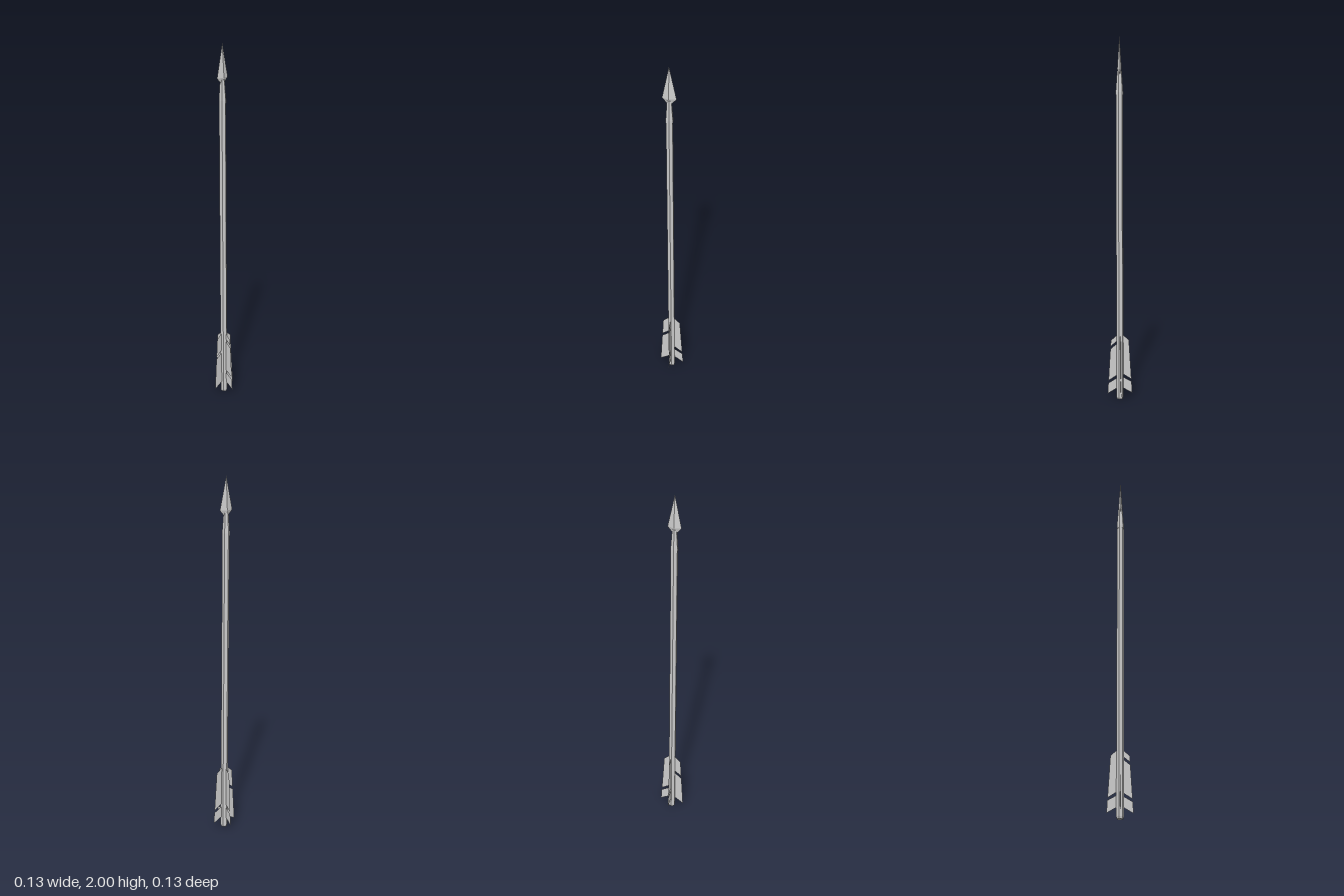
import * as THREE from 'three';

const solid = new THREE.MeshStandardMaterial({ color: 0xcccccc, flatShading: true });
const thin = new THREE.MeshStandardMaterial({ color: 0xcccccc, flatShading: true, side: THREE.DoubleSide });

// Faceted solid of revolution from [radius, y] pairs, bottom to top
function turned(name, profile, sides, turn = 0) {
  const points = profile.map(([r, y]) => new THREE.Vector2(r, y));
  const mesh = new THREE.Mesh(new THREE.LatheGeometry(points, sides, turn), solid);
  mesh.name = name;
  return mesh;
}

// Outer edge of a vane widens towards the tail
const outerEdge = (y) => 0.05 + (0.335 - y) * 0.062;

// One vane in the xy plane, cut into slanted barbs at the given heights
function vane(name, cuts) {
  const shapes = [];
  let top = 0.335;
  for (const bottom of [...cuts, 0.03]) {
    const rise = 0.025;
    shapes.push(new THREE.Shape([
      new THREE.Vector2(0.01, bottom + rise + 0.01),
      new THREE.Vector2(outerEdge(bottom), bottom),
      new THREE.Vector2(outerEdge(top), top),
      new THREE.Vector2(0.022, top + rise),
      new THREE.Vector2(0.01, top + rise),
    ]));
    top = bottom - 0.014;
  }
  const mesh = new THREE.Mesh(new THREE.ShapeGeometry(shapes), thin);
  mesh.name = name;
  return mesh;
}

export function createModel() {
  const arrow = new THREE.Group();
  arrow.name = 'arrow';
  const hexTurn = THREE.MathUtils.degToRad(24);

  // Six-sided shaft with a slightly chamfered tail
  arrow.add(turned('shaft', [[0, 0], [0.017, 0], [0.02, 0.012], [0.0195, 1.7], [0, 1.7]], 6, hexTurn));

  // Tapered socket that holds the head
  arrow.add(turned('socket', [[0, 1.685], [0.021, 1.685], [0.021, 1.7], [0.013, 1.81], [0, 1.81]], 6, hexTurn));

  // Flattened diamond-section head
  const head = turned('head', [[0, 1.795], [0.016, 1.795], [0.038, 1.82], [0, 2]], 4);
  head.scale.z = 0.32;
  head.rotation.y = 0.27;
  arrow.add(head);

  // Four vanes, each split in its own places
  const fletching = new THREE.Group();
  fletching.name = 'fletching';
  const cuts = [[0.11], [0.11], [0.23], [0.3, 0.105]]; // left, back, right, front
  cuts.forEach((c, i) => {
    const v = vane('vane' + (i + 1), c);
    v.rotation.y = i * Math.PI / 2;
    fletching.add(v);
  });
  fletching.rotation.y = 0.27;
  arrow.add(fletching);

  // The whole arrow leans very slightly
  arrow.rotation.set(0.003, 0, 0.007);
  const model = new THREE.Group();
  model.add(arrow);
  return model;
}
